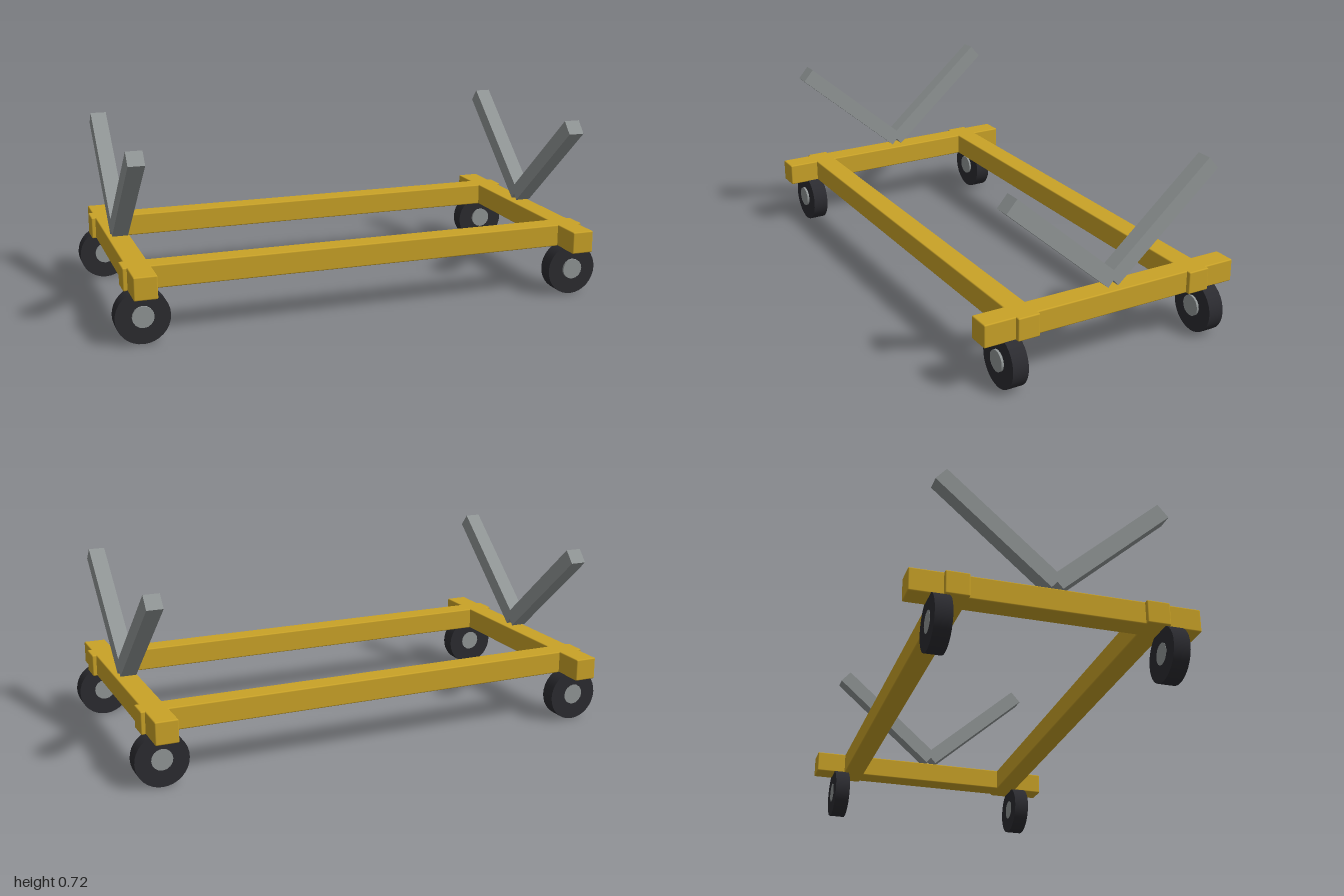
import * as THREE from 'three';
import { RoundedBoxGeometry } from 'three/addons/geometries/RoundedBoxGeometry.js';

const material = (name, color) => {
  const m = new THREE.MeshStandardMaterial({ color });
  m.name = name;
  return m;
};

export function createModel() {
  const yellow = material('yellow paint', 0xc9a227);
  const grey = material('grey metal', 0x909595);
  const rubber = material('dark rubber', 0x2b2b30);

  const model = new THREE.Group();
  model.name = 'cradleTrolley';

  const add = (name, geometry, mat, x, y, z, rx = 0) => {
    const mesh = new THREE.Mesh(geometry, mat);
    mesh.name = name;
    mesh.position.set(x, y, z);
    mesh.rotation.x = rx;
    model.add(mesh);
  };

  const beam = 0.09, beamY = 0.241, endX = 0.895;
  const railGeo = new RoundedBoxGeometry(1.914, beam, beam, 2, 0.005);
  const crossGeo = new RoundedBoxGeometry(beam, beam, 1.09, 2, 0.005);
  const armGeo = new THREE.BoxGeometry(0.064, 0.064, 0.571);
  const tyreGeo = new THREE.CylinderGeometry(0.105, 0.105, 0.064, 32);
  const hubGeo = new THREE.CylinderGeometry(0.042, 0.042, 0.074, 16);
  const armTilt = 0.717;

  // Long side rails
  for (const s of [1, -1]) {
    add(s > 0 ? 'frontRail' : 'backRail', railGeo, yellow, 0, beamY, s * 0.373);
  }

  for (const sx of [1, -1]) {
    const side = sx > 0 ? 'left' : 'right';
    // End beam
    add(`${side}CrossBeam`, crossGeo, yellow, sx * endX, beamY, 0);

    for (const sz of [1, -1]) {
      const end = sz > 0 ? 'Front' : 'Back';
      // V-shaped cradle arm
      add(`${side}${end}CradleArm`, armGeo, grey, sx * endX, 0.5085, sz * 0.216, -sz * armTilt);
      // Wheel, with the hub cap always facing forward
      const z = sz * 0.432;
      add(`${side}${end}Tyre`, tyreGeo, rubber, sx * endX, 0.105, z, Math.PI / 2);
      add(`${side}${end}Hub`, hubGeo, grey, sx * endX, 0.108, z + 0.004, Math.PI / 2);
    }
  }
  return model;
}
